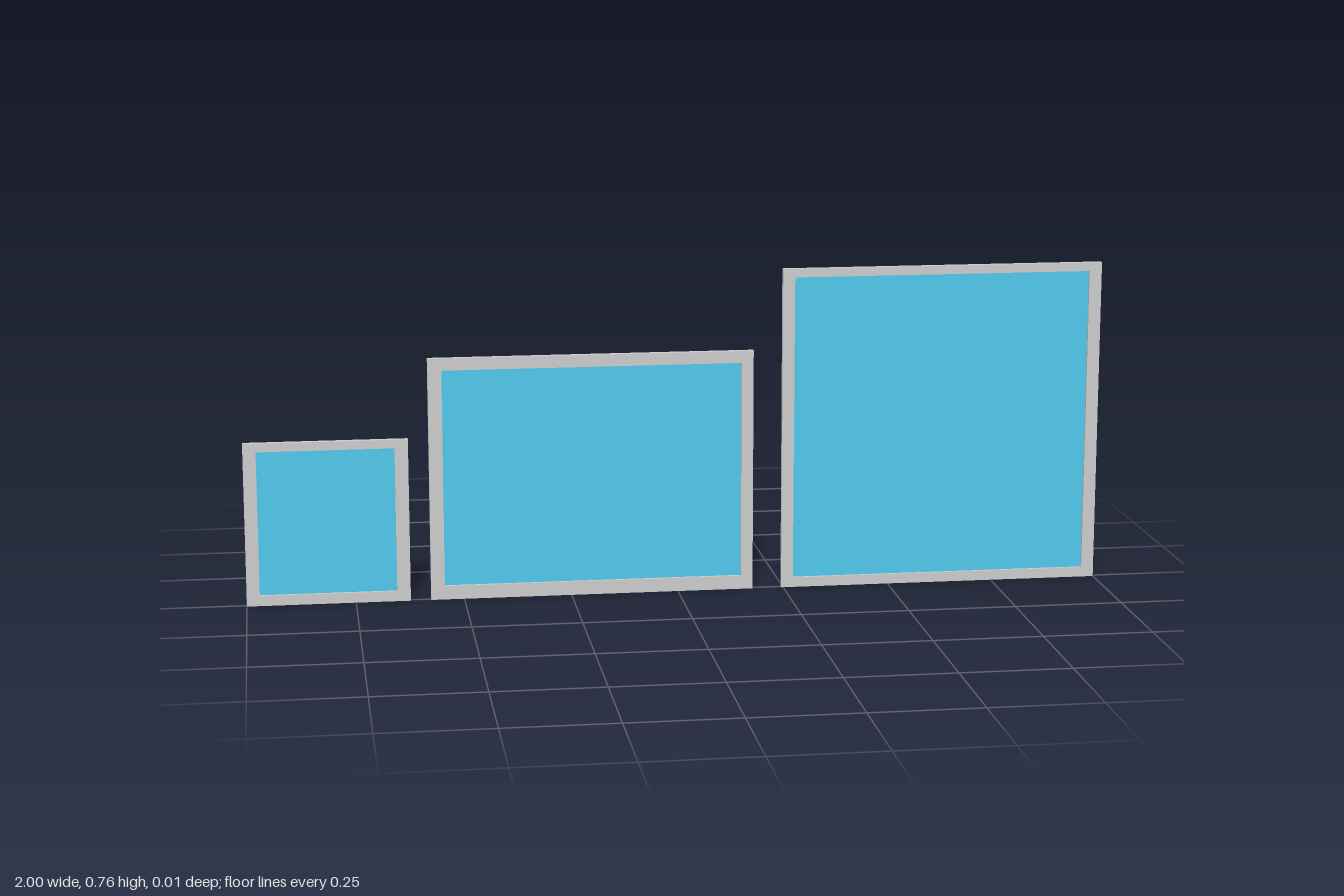
import * as THREE from 'three';

const FRONT = 0.008, BACK = -0.006, SILL_BACK = -0.001;

// Four corners, counter-clockwise seen from the front, starting bottom left.
function corners([x0, x1, y0, y1], zBottom, zTop = zBottom) {
  return [[x0, y0, zBottom], [x1, y0, zBottom], [x1, y1, zTop], [x0, y1, zTop]];
}

// Mitred frame: front, inner, back and outer faces joined around the opening.
function frameGeometry(outer, inner) {
  const loops = [
    corners(outer, FRONT),
    corners(inner, FRONT),
    corners(inner, BACK),
    corners(outer, SILL_BACK, BACK), // back thins towards the bottom edge
  ];
  const pos = [];
  for (let l = 0; l < 4; l++) {
    const p = loops[l], q = loops[(l + 1) % 4];
    for (let i = 0; i < 4; i++) {
      const j = (i + 1) % 4;
      pos.push(...p[i], ...p[j], ...q[j], ...p[i], ...q[j], ...q[i]);
    }
  }
  const geo = new THREE.BufferGeometry();
  geo.setAttribute('position', new THREE.Float32BufferAttribute(pos, 3));
  geo.computeVertexNormals();
  return geo;
}

export function createModel() {
  const frameMat = new THREE.MeshStandardMaterial({ color: 0xcccccc, flatShading: true });
  const glassMat = new THREE.MeshStandardMaterial({ color: 0x51c7eb, side: THREE.DoubleSide });

  // Outer and inner rectangles: left, right, bottom, top
  const windows = [
    { name: 'smallWindow', outer: [-1, -0.624, 0, 0.382], inner: [-0.97, -0.655, 0.024, 0.362] },
    { name: 'wideWindow', outer: [-0.577, 0.177, 0, 0.568], inner: [-0.545, 0.149, 0.032, 0.54] },
    { name: 'largeWindow', outer: [0.245, 1, 0, 0.757], inner: [0.273, 0.971, 0.023, 0.737] },
  ];

  const model = new THREE.Group();
  model.name = 'windowSet';
  for (const { name, outer, inner } of windows) {
    const group = new THREE.Group();
    group.name = name;

    const frame = new THREE.Mesh(frameGeometry(outer, inner), frameMat);
    frame.name = 'frame';

    // Glass pane set midway in the frame
    const [x0, x1, y0, y1] = inner;
    const pane = new THREE.Mesh(new THREE.PlaneGeometry(x1 - x0, y1 - y0), glassMat);
    pane.position.set((x0 + x1) / 2, (y0 + y1) / 2, 0.001);
    pane.name = 'glassPane';

    group.add(frame, pane);
    model.add(group);
  }
  return model;
}
